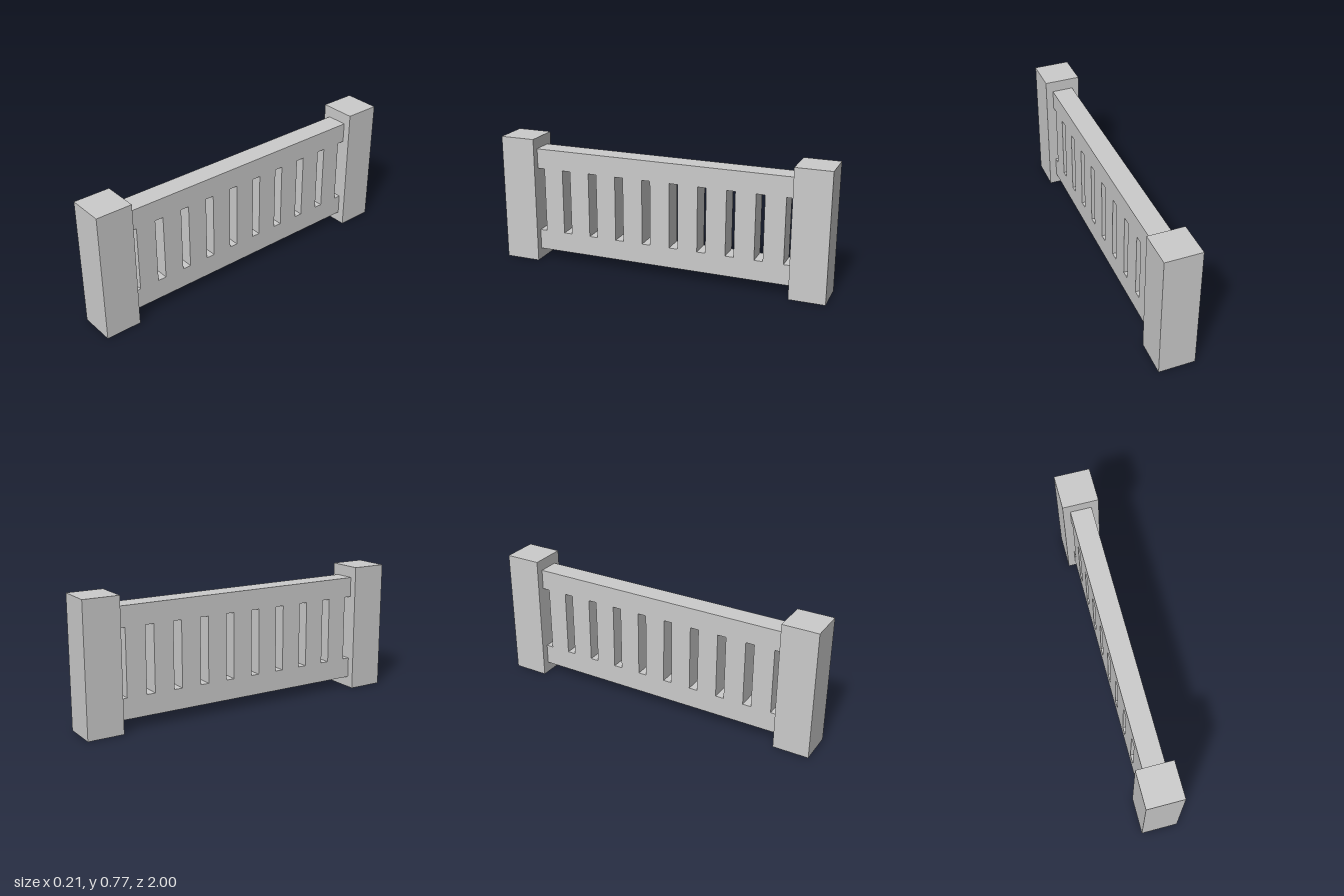
import * as THREE from 'three';

const POST = { width: 0.212, height: 0.767 };
const DEPTH = 0.126;            // thickness shared by rails and slats
const RAIL_LENGTH = 1.576;      // clear span between the posts
const LOWER = [0.065, 0.187];   // bottom and top of the lower rail
const UPPER = [0.58, 0.7];      // bottom and top of the upper rail
const SLATS = { count: 9, width: 0.12, pitch: 0.171 };

export function createModel() {
  const group = new THREE.Group();
  group.name = 'balustrade';
  const material = new THREE.MeshStandardMaterial({ color: 0xcccccc, flatShading: true });

  // Box standing between two heights, centred on x = 0
  const addBox = (name, width, [bottom, top], length, z) => {
    const mesh = new THREE.Mesh(new THREE.BoxGeometry(width, top - bottom, length), material);
    mesh.name = name;
    mesh.position.set(0, (bottom + top) / 2, z);
    group.add(mesh);
  };

  // End posts
  for (const side of [1, -1]) {
    addBox(side > 0 ? 'frontPost' : 'backPost', POST.width, [0, POST.height], POST.width,
      side * (1 - POST.width / 2));
  }

  // Rails
  addBox('lowerRail', DEPTH, LOWER, RAIL_LENGTH, 0);
  addBox('upperRail', DEPTH, UPPER, RAIL_LENGTH, 0);

  // Upright slats, flush with the rails
  for (let i = 0; i < SLATS.count; i++) {
    const z = ((SLATS.count - 1) / 2 - i) * SLATS.pitch;
    addBox(`slat${i + 1}`, DEPTH, [LOWER[1], UPPER[0]], SLATS.width, z);
  }

  return group;
}
